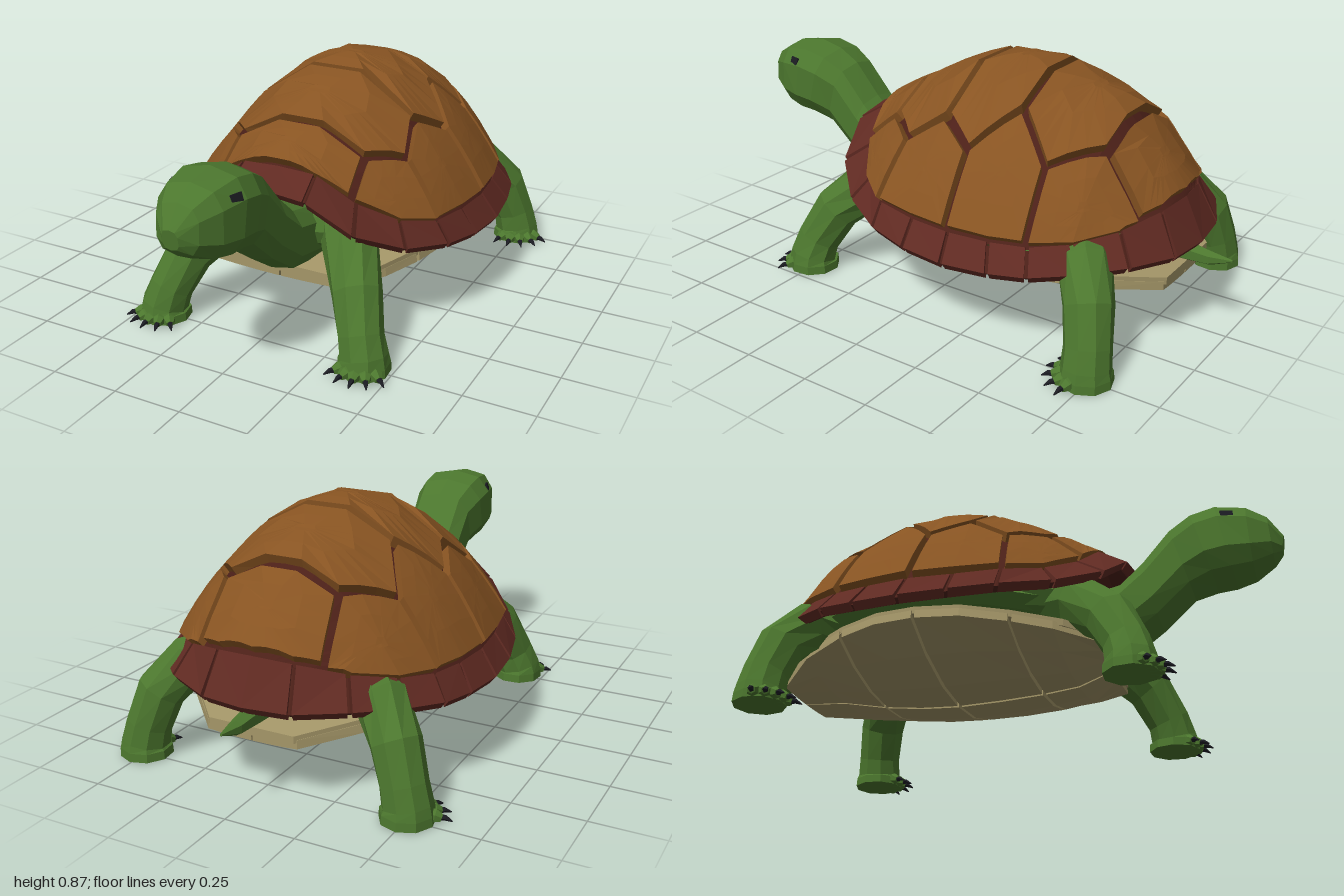
import * as THREE from 'three';

const V = (x, y, z) => new THREE.Vector3(x, y, z);
const mat = (color) => new THREE.MeshStandardMaterial({ color, flatShading: true });
const skin = mat(0x4c772e), scute = mat(0x885422), rim = mat(0x602a22), groove = mat(0x4c2018);
const belly = mat(0xa49668), black = mat(0x1b1b22);

// Closed solid through rings of equal point count, capped at both ends
function loft(name, rings, material) {
  const tris = [], n = rings[0].length;
  const mid = (r) => r.reduce((s, p) => s.add(p), V(0, 0, 0)).divideScalar(n);
  const first = mid(rings[0]), last = mid(rings.at(-1));
  for (let j = 0; j < n; j++) {
    const k = (j + 1) % n;
    tris.push([first, rings[0][k], rings[0][j]], [last, rings.at(-1)[j], rings.at(-1)[k]]);
    for (let i = 0; i + 1 < rings.length; i++) {
      const a = rings[i], b = rings[i + 1];
      tris.push([a[j], a[k], b[k]], [a[j], b[k], b[j]]);
    }
  }
  // turn the faces outward
  let volume = 0;
  for (const [a, b, c] of tris)
    volume += a.clone().sub(first).dot(b.clone().sub(first).cross(c.clone().sub(first)));
  if (volume < 0) tris.forEach((t) => t.reverse());
  const g = new THREE.BufferGeometry().setFromPoints(tris.flat());
  g.computeVertexNormals();
  const m = new THREE.Mesh(g, material);
  m.name = name;
  return m;
}

// Limb along points [x, y, z, radius]
function limb(name, path, ref, material, sides = 8) {
  const pts = path.map((p) => V(p[0], p[1], p[2]));
  return loft(name, path.map((p, i) => {
    const t = pts[Math.min(i + 1, pts.length - 1)].clone().sub(pts[Math.max(i - 1, 0)]).normalize();
    const a = ref.clone().addScaledVector(t, -ref.dot(t)).normalize(), b = t.clone().cross(a);
    return Array.from({ length: sides }, (_, j) => {
      const w = ((j + 0.5) / sides) * Math.PI * 2;
      return pts[i].clone().addScaledVector(a, Math.cos(w) * p[3]).addScaledVector(b, Math.sin(w) * p[3]);
    });
  }), material);
}

// Linear lookup in rows sorted by falling z (first column)
function sample(rows, z, col = 1) {
  let i = 0;
  while (i < rows.length - 2 && z < rows[i + 1][0]) i++;
  const t = THREE.MathUtils.clamp((z - rows[i][0]) / (rows[i + 1][0] - rows[i][0]), 0, 1);
  return rows[i][col] + (rows[i + 1][col] - rows[i][col]) * t;
}

// Rim stations from front to back: inner x, y, z then outer x, y, z
const stations = [
  [0, .60, .37, 0, .56, .47], [.14, .59, .36, .15, .54, .46], [.27, .49, .31, .31, .43, .41],
  [.39, .42, .22, .44, .355, .27], [.48, .39, .1, .53, .325, .1], [.51, .38, -.06, .57, .31, -.06],
  [.525, .38, -.22, .585, .305, -.23], [.51, .38, -.37, .565, .31, -.4], [.48, .385, -.5, .535, .32, -.53],
  [.41, .4, -.62, .45, .335, -.67], [.29, .43, -.73, .33, .345, -.79], [.14, .46, -.8, .16, .335, -.87],
  [0, .47, -.82, 0, .335, -.89]];
const edge = stations.map((s) => [s[2], s[0], s[1]]);
const ridge = [[.37, .61], [.19, .715], [-.06, .838], [-.2, .85], [-.32, .845], [-.6, .745], [-.77, .54], [-.82, .47]];

function domeHeight(x, z) {
  const u = Math.min(1, Math.abs(x) / Math.max(.005, sample(edge, z)));
  const base = sample(edge, z, 2);
  return base + (sample(ridge, z) - base) * (1 - u * u);
}

// Raised shell plate from a top-down outline of [x, z] corners
function plate(name, outline) {
  const pts = [];
  outline.forEach((p, i) => {
    const q = outline[(i + 1) % outline.length];
    for (let k = 0; k < 3; k++) pts.push([p[0] + (q[0] - p[0]) * k / 3, p[1] + (q[1] - p[1]) * k / 3]);
  });
  const xs = pts.map((p) => p[0]), zs = pts.map((p) => p[1]);
  const cx = (Math.min(...xs) + Math.max(...xs)) / 2, cz = (Math.min(...zs) + Math.max(...zs)) / 2;
  const hx = Math.max(...xs) - cx, hz = Math.max(...zs) - cz;
  const ring = (gap, scale, lift) => pts.map(([px, pz]) => {
    const x = cx + (px - cx) * (1 - gap / hx) * scale, z = cz + (pz - cz) * (1 - gap / hz) * scale;
    return V(x, domeHeight(x, z), z).addScaledVector(V(x, .45, (z + .22) * .7).normalize(), lift);
  });
  return loft(name, [ring(.01, 1, -.03), ring(.013, 1, .024), ring(.013, .55, .024), ring(.013, .12, .024)], scute);
}

function shell() {
  const g = new THREE.Group();
  g.name = 'shell';
  // dark core, sunk below the plates
  const cuts = [.37, .36, .31, .25, .19, .13, .06, -.07, -.2, -.33, -.48, -.6, -.69, -.77, -.8, -.82];
  g.add(loft('dome', cuts.map((z) => Array.from({ length: 17 }, (_, i) => {
    const u = i / 8 - 1, x = Math.max(.005, sample(edge, z)) * u;
    return V(x, domeHeight(x, z) - .018 * (1 - u ** 4), z);
  })), groove));
  // plates along the middle
  const middle = [
    [[.24, .19], [.25, .315], [.14, .355], [0, .365]],
    [[.3, -.07], [.34, .07], [.24, .19]],
    [[.24, -.33], [.37, -.2], [.3, -.07]],
    [[.2, -.62], [.33, -.47], [.24, -.33]],
    [[0, -.815], [.14, -.795], [.22, -.76], [.2, -.62]]];
  for (const half of middle)
    g.add(plate('middlePlate', [...half, ...half.filter((p) => p[0] > 0).reverse().map(([x, z]) => [-x, z])]));
  // plates down each side
  const sides = [
    [[.24, .19], [.25, .315], [.39, .22], [.48, .1], [.34, .07]],
    [[.34, .07], [.48, .1], [.51, -.06], [.525, -.21], [.37, -.2], [.3, -.07]],
    [[.37, -.2], [.525, -.21], [.51, -.37], [.482, -.49], [.33, -.47], [.24, -.33]],
    [[.33, -.47], [.482, -.49], [.41, -.62], [.29, -.73], [.22, -.765], [.2, -.62]]];
  // rim cross-section
  const section = (s, m, sink) => {
    const out = V(s[0] * 1.1, 0, s[2] + .22).normalize().multiplyScalar(.02);
    const i = V(s[0], s[1] + .012 - sink, s[2]), o = V(s[3], s[4] - sink * .5, s[5]).addScaledVector(out, -sink * 50);
    const low = (p) => p.clone().sub(out).add(V(0, sink - .026, 0));
    return [i, o, low(o), low(i)].map((p) => V(p.x * m, p.y, p.z));
  };
  const mix = (a, b, t) => a.map((v, i) => v + (b[i] - v) * t);
  for (const m of [1, -1]) {
    for (const p of sides) g.add(plate('sidePlate', p.map(([x, z]) => [x * m, z])));
    g.add(loft('rimBand', stations.map((s) => section(s, m, .012)), groove));
    for (let i = 0; i < 12; i++) {
      const a = mix(stations[i], stations[i + 1], i ? .045 : 0), b = mix(stations[i], stations[i + 1], i < 11 ? .955 : 1);
      g.add(loft('rimPlate', [section(a, m, 0), section(b, m, 0)], rim));
    }
  }
  return g;
}

// Underside: z, half width, bottom y, top y
const under = [[.37, .25, .195, .245], [.27, .34, .15, .26], [.11, .42, .133, .28], [-.05, .47, .125, .3], [-.21, .48, .122, .31],
  [-.35, .47, .13, .31], [-.5, .42, .15, .3], [-.66, .34, .185, .28], [-.84, .16, .2, .25]];

function plastron() {
  const g = new THREE.Group();
  g.name = 'plastron';
  const low = (u, z) => {
    const b = sample(under, z, 2);
    return b + (sample(under, z, 3) - .045 - b) * Math.pow(Math.abs(u), 2.2);
  };
  g.add(loft('bellyCore', under.map(([z, w, , t]) => [
    ...[-1, -.7, -.35, 0, .35, .7, 1].map((u) => V(u * w * .98, low(u, z) + .02, z)), V(w * .98, t, z), V(-w * .98, t, z)]), belly));
  const cuts = [.37, .11, -.21, -.5, -.84];
  for (const m of [1, -1]) for (let i = 0; i < 4; i++) {
    const zs = [0, .5, 1].map((t) => THREE.MathUtils.lerp(cuts[i] - .006, cuts[i + 1] + .006, t));
    g.add(loft('bellyPlate', zs.map((z) => {
      const w = sample(under, z), us = [.015, .35, .7, 1];
      return [...us.map((u) => V(m * u * w, low(u, z), z)), ...us.reverse().map((u) => V(m * u * w * .99, low(u, z) + .03, z))];
    }), belly));
  }
  return g;
}

// Leg with toes and claws
function leg(name, path, m, heading) {
  const g = new THREE.Group();
  g.name = name;
  const ref = V(Math.cos(heading) * m, 0, -Math.sin(heading));
  g.add(limb('legSkin', path.map(([x, y, z, r]) => [x * m, y, z, r]), ref, skin, 9));
  const [fx, , fz] = path.at(-1);
  for (let i = -2; i <= 2; i++) {
    const a = heading + i * .42, d = V(Math.sin(a) * m, 0, Math.cos(a));
    const at = (r, y) => [(fx * m) + d.x * r, y, fz + d.z * r];
    const across = V(d.z, 0, -d.x);
    g.add(limb('toe', [[...at(.05, .03), .025], [...at(.088, .026), .023], [...at(.108, .02), .014]], across, skin, 6));
    g.add(limb('claw', [[...at(.1, .022), .011], [...at(.12, .022), .009], [...at(.142, .012), .002]], across, black, 5));
  }
  return g;
}

export function createModel() {
  const model = new THREE.Group();
  model.name = 'tortoise';
  model.add(shell(), plastron());

  // flesh between shell and underside
  for (const [name, p, s] of [['body', [0, .36, -.22], [.49, .11, .57]], ['shoulders', [0, .38, .14], [.36, .13, .22]]]) {
    const b = new THREE.Mesh(new THREE.SphereGeometry(1, 14, 8), skin);
    b.name = name;
    b.position.set(...p);
    b.scale.set(...s);
    model.add(b);
  }

  // neck and head: top z, y, bottom z, y, half width
  const neck = [[.2, .45, .2, .22, .14], [.42, .5, .42, .25, .128], [.5, .575, .55, .34, .122], [.6, .69, .67, .445, .122],
    [.68, .735, .75, .47, .143], [.77, .755, .82, .475, .145], [.88, .74, .89, .49, .122], [.95, .7, .96, .53, .08], [1, .63, .99, .56, .03]];
  const boxy = (v) => Math.sign(v) * Math.pow(Math.abs(v), .72);
  model.add(loft('neckAndHead', neck.map(([tz, ty, bz, by, w]) => Array.from({ length: 10 }, (_, j) => {
    const a = ((j + .5) / 10) * Math.PI * 2, k = (boxy(Math.sin(a)) + 1) / 2;
    return V(boxy(Math.cos(a)) * w, by + (ty - by) * k, bz + (tz - bz) * k);
  })), skin));

  for (const m of [1, -1]) {
    const eye = new THREE.Mesh(new THREE.BoxGeometry(.02, .03, .045), black);
    eye.name = 'eye';
    eye.position.set(.116 * m, .685, .815);
    eye.rotation.set(0, -.3 * m, .35 * m);
    model.add(eye);
    const side = m > 0 ? 'left' : 'right';
    model.add(leg(side + 'FrontLeg', [[.18, .38, .16, .12], [.25, .35, .31, .1], [.335, .24, .43, .088], [.38, .12, .49, .08],
      [.4, .055, .505, .085], [.4, .035, .505, .092], [.4, .005, .505, .094]], m, .1));
    model.add(leg(side + 'RearLeg', [[.24, .36, -.55, .1], [.37, .335, -.65, .09], [.445, .24, -.71, .085], [.485, .12, -.735, .08],
      [.5, .055, -.74, .084], [.5, .035, -.74, .09], [.5, .005, -.74, .092]], m, .48));
  }

  model.add(limb('tail', [[0, .295, -.7, .05], [0, .285, -.83, .036], [0, .28, -.92, .026], [0, .29, -1, .004]], V(1, 0, 0), skin, 6));
  return model;
}
